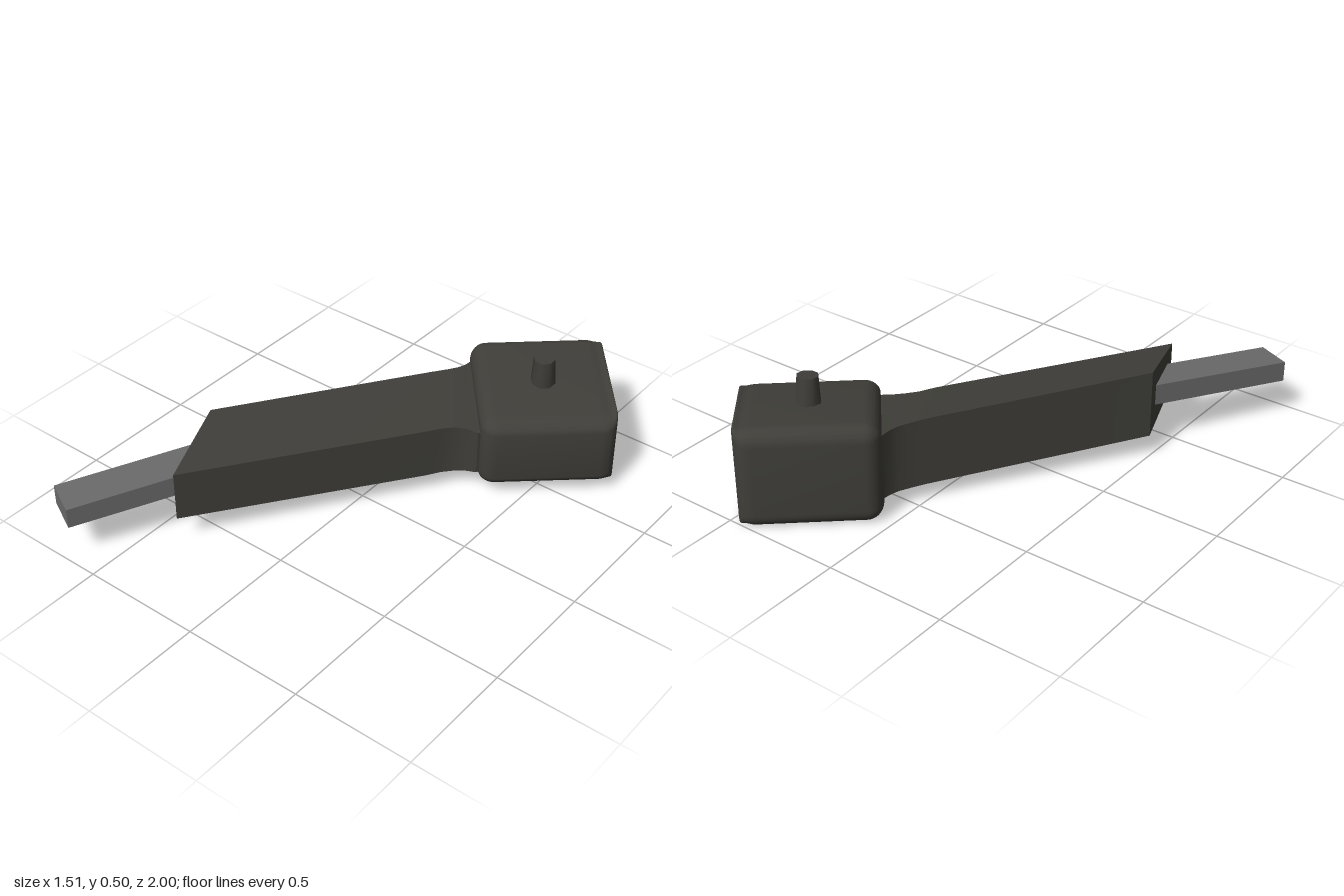
import * as THREE from 'three';
import { mergeVertices, toCreasedNormals } from 'three/addons/utils/BufferGeometryUtils.js';
import { RoundedBoxGeometry } from 'three/addons/geometries/RoundedBoxGeometry.js';

// Four-sided loft. Section: [leftX, leftZ, leftBottom, leftTop, rightX, rightZ, rightBottom, rightTop]
function loft(sections) {
  const pos = [];
  const rings = sections.map(([lx, lz, lb, lt, rx, rz, rb, rt]) =>
    [[lx, lb, lz], [rx, rb, rz], [rx, rt, rz], [lx, lt, lz]]);
  const quad = (a, b, c, d) => pos.push(...a, ...b, ...c, ...a, ...c, ...d);
  for (let i = 0; i < rings.length - 1; i++) {
    const p = rings[i], q = rings[i + 1];
    for (let k = 0; k < 4; k++) {
      const n = (k + 1) % 4;
      quad(p[k], q[k], q[n], p[n]);
    }
  }
  quad(...rings[0]);
  quad(...[...rings[rings.length - 1]].reverse());
  const geo = new THREE.BufferGeometry();
  geo.setAttribute('position', new THREE.Float32BufferAttribute(pos, 3));
  return toCreasedNormals(geo, 0.5);
}

// Rounded block, taller on one side, with a crisper far end
function headGeometry() {
  const r = 0.065, halfX = 0.27, halfY = 0.2, halfZ = 0.265;
  let geo = new RoundedBoxGeometry(halfX * 2, halfY * 2, halfZ * 2, 6, r);
  geo.deleteAttribute('uv');
  geo.deleteAttribute('normal');
  geo = mergeVertices(geo, 1e-4);
  const p = geo.attributes.position;
  for (let i = 0; i < p.count; i++) {
    const t = Math.max(0, (p.getX(i) - halfX + r) / r);
    const crisp = 1 + t ** 4 * ((halfY - 0.02) / (halfY - r) - 1);
    const y = THREE.MathUtils.clamp((p.getY(i) * crisp) / halfY, -1, 1);
    const k = (p.getZ(i) / halfZ + 1) / 2;
    const top = THREE.MathUtils.lerp(0.422, 0.347, k);
    const bottom = THREE.MathUtils.lerp(-0.004, 0.05, k);
    p.setY(i, THREE.MathUtils.lerp(bottom, top, (y + 1) / 2));
  }
  geo.computeVertexNormals();
  return toCreasedNormals(geo, 0.6);
}

export function createModel() {
  const group = new THREE.Group();
  const dark = new THREE.MeshStandardMaterial({ color: 0x3f3e39 });
  const grey = new THREE.MeshStandardMaterial({ color: 0x6a6a6a });
  const add = (name, geo, mat) => {
    const mesh = new THREE.Mesh(geo, mat);
    mesh.name = name;
    group.add(mesh);
    return mesh;
  };

  // Arm with a slanted end, flaring into the head
  add('arm', loft([
    [-0.50, 0.32, 0.097, 0.38, -0.38, 0.66, 0.115, 0.325],
    [0.0, -0.45, 0.075, 0.36, 0.18, -0.17, 0.088, 0.305],
    [0.035, -0.51, 0.073, 0.355, 0.215, -0.23, 0.086, 0.302],
    [0.056, -0.55, 0.072, 0.352, 0.25, -0.27, 0.086, 0.3],
    [0.066, -0.59, 0.072, 0.348, 0.285, -0.295, 0.088, 0.295],
    [0.066, -0.63, 0.075, 0.345, 0.33, -0.31, 0.092, 0.285],
    [0.12, -0.66, 0.08, 0.34, 0.36, -0.36, 0.1, 0.28],
  ]), dark);

  // Tapered head block
  const head = add('head', headGeometry(), dark);
  head.position.set(0.396, 0, -0.657);
  head.rotation.y = 0.722;

  // Short eight-sided peg on top of the head
  const peg = add('peg', toCreasedNormals(new THREE.CylinderGeometry(0.043, 0.053, 0.15, 8), 0.9), dark);
  peg.position.set(0.402, 0.42, -0.647);
  peg.rotation.set(0.07, 0.33, -0.03);

  // Slim bar pushed into the slanted end of the arm
  add('bar', loft([
    [-0.76, 0.92, 0.165, 0.25, -0.62, 0.99, 0.16, 0.245],
    [-0.40, 0.25, 0.205, 0.293, -0.26, 0.32, 0.2, 0.288],
  ]), grey);

  return group;
}
